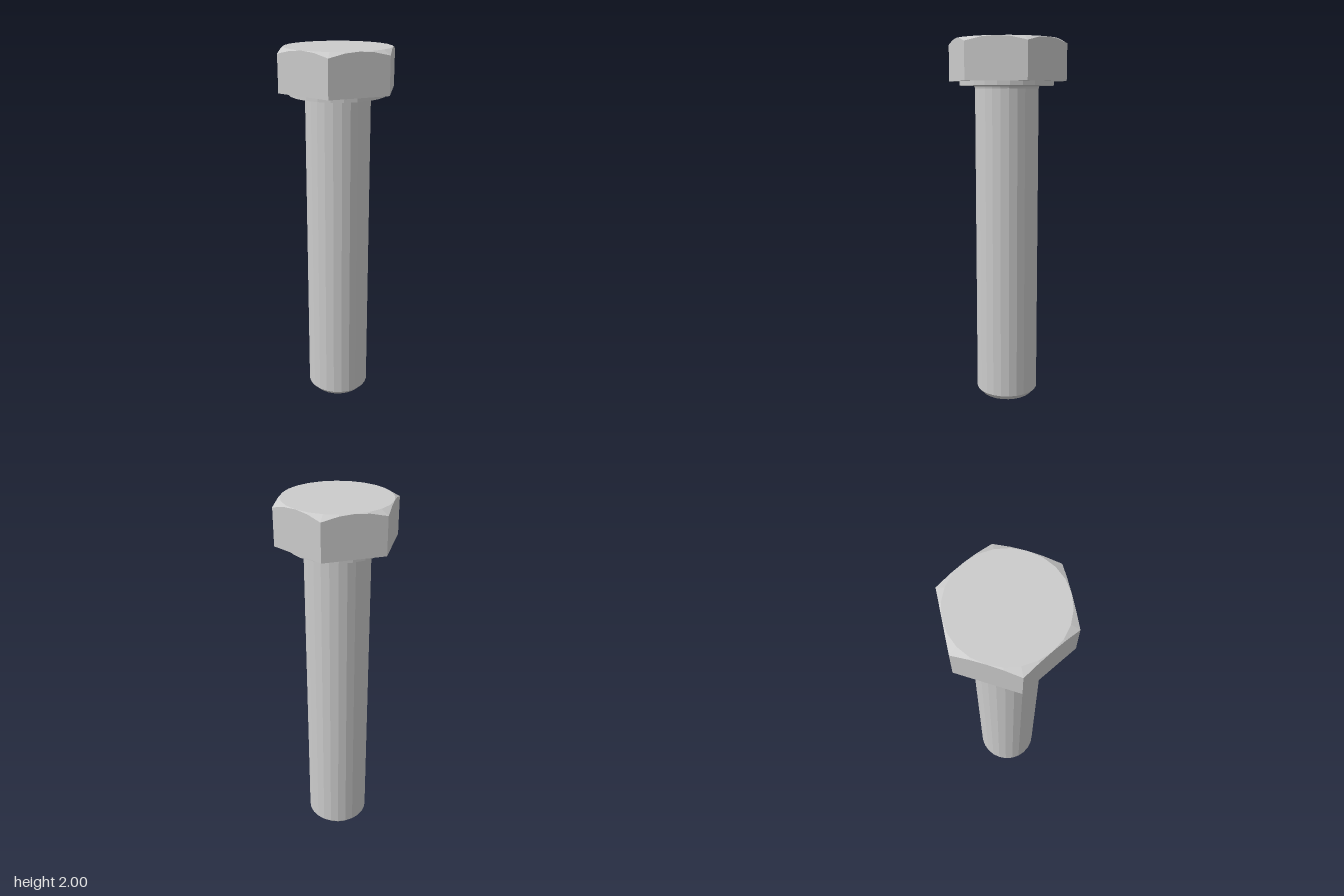
import * as THREE from 'three';

const SIDES = 24;        // facets around the axis
const APOTHEM = 0.281;   // half the width across the flats
const HEAD_BOTTOM = 1.78, HEAD_TOP = 2;

// Hexagonal head, with the top corners cut by a 30 degree cone
function headGeometry() {
  const section = (i) => {
    const angle = (i / SIDES) * Math.PI * 2;
    const local = (angle % (Math.PI / 3)) - Math.PI / 6;
    const r = APOTHEM / Math.cos(local);
    const rim = HEAD_TOP - (r - APOTHEM) * Math.tan(Math.PI / 6);
    const profile = [[0, HEAD_BOTTOM], [r, HEAD_BOTTOM], [r, rim], [APOTHEM, HEAD_TOP], [0, HEAD_TOP]];
    return profile.map(([d, y]) => [d * Math.cos(angle), y, d * Math.sin(angle)]);
  };
  const positions = [];
  for (let i = 0; i < SIDES; i++) {
    const a = section(i), b = section((i + 1) % SIDES);
    for (let k = 0; k < a.length - 1; k++) {
      if (k > 0) positions.push(...b[k], ...a[k], ...a[k + 1]);
      if (k < a.length - 2) positions.push(...b[k], ...a[k + 1], ...b[k + 1]);
    }
  }
  const geometry = new THREE.BufferGeometry();
  geometry.setAttribute('position', new THREE.Float32BufferAttribute(positions, 3));
  geometry.computeVertexNormals();
  return geometry;
}

function turned(points) {
  return new THREE.LatheGeometry(points.map(([r, y]) => new THREE.Vector2(r, y)), SIDES);
}

export function createModel() {
  const group = new THREE.Group();
  group.name = 'hexBolt';
  const material = new THREE.MeshStandardMaterial({ color: 0xcccccc, flatShading: true });
  const add = (name, geometry) => {
    const mesh = new THREE.Mesh(geometry, material);
    mesh.name = name;
    group.add(mesh);
  };

  // Shank with a chamfered tip and a small fillet under the head
  add('shank', turned([
    [0, 0], [0.145, 0], [0.173, 0.03], [0.173, 1.742], [0.176, 1.752], [0.182, 1.757],
  ]));

  // Thin round bearing face below the head
  add('washerFace', turned([[0.182, 1.757], [0.257, 1.757], [0.257, HEAD_BOTTOM]]));

  add('head', headGeometry());
  return group;
}
